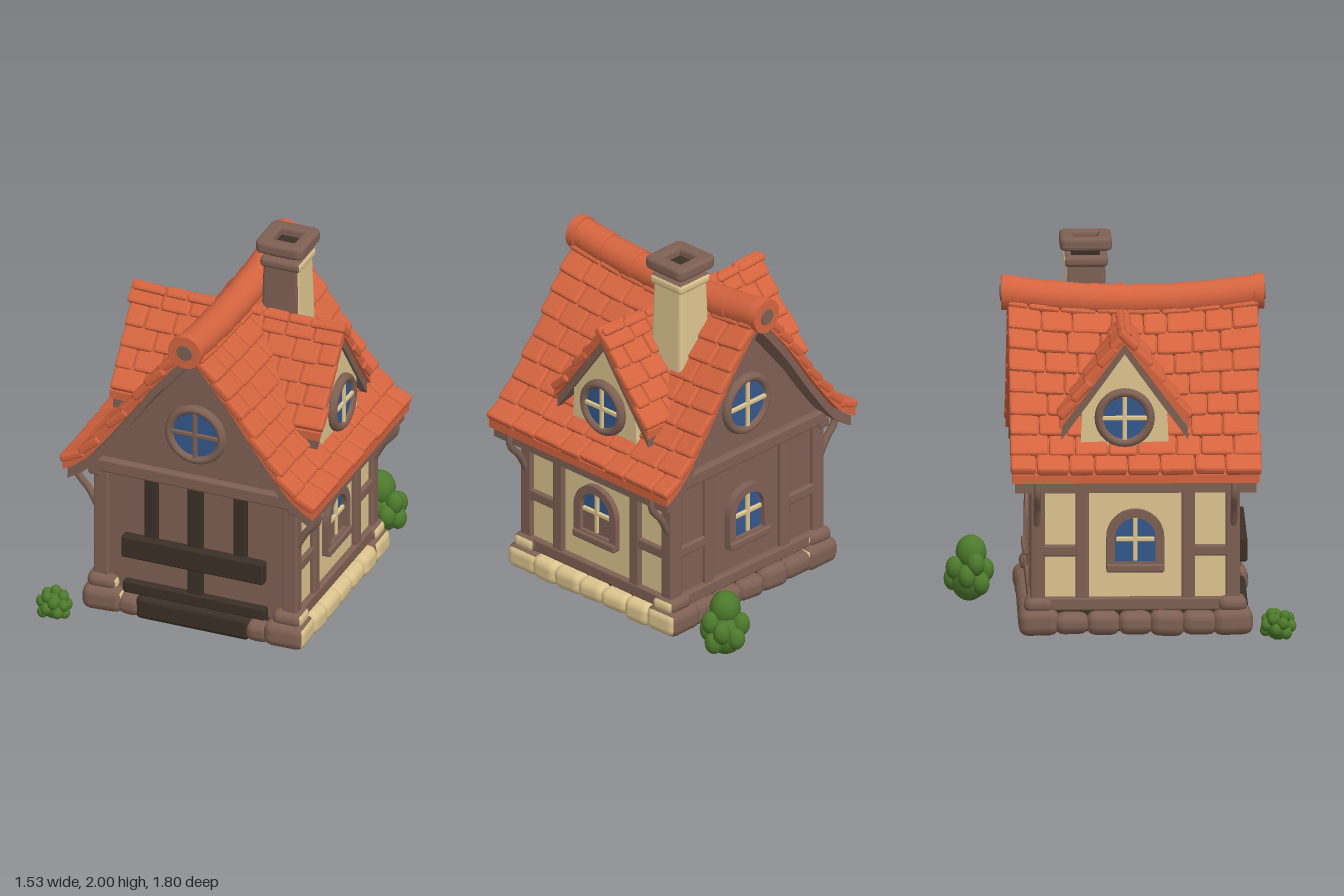
import * as THREE from 'three';
import { mergeGeometries } from 'three/addons/utils/BufferGeometryUtils.js';
import { RoundedBoxGeometry } from 'three/addons/geometries/RoundedBoxGeometry.js';

const mat = (name, color) => Object.assign(new THREE.MeshStandardMaterial({ color }), { name });

export function createModel() {
  const tile = mat('roof tile', 0xd5643f), timber = mat('timber brown', 0x7e6053), plaster = mat('plaster', 0xdcc48e);
  const dark = mat('dark timber', 0x3a3026), glass = mat('window blue', 0x34588c), leaf = mat('leaf green', 0x4d7a2c);
  let seed = 7;
  const rnd = (a, b) => { seed = (seed * 16807) % 2147483647; return a + (b - a) * seed / 2147483647; };
  const model = new THREE.Group();
  const group = (name, parent, x = 0, y = 0, z = 0, ry = 0) => {
    const g = new THREE.Group();
    g.name = name; g.position.set(x, y, z); g.rotation.y = ry;
    parent.add(g);
    return g;
  };
  const add = (parent, name, geo, m, x = 0, y = 0, z = 0) => {
    const mesh = new THREE.Mesh(geo, m);
    mesh.name = name; mesh.position.set(x, y, z);
    parent.add(mesh);
    return mesh;
  };
  const block = (parent, name, m, w, h, d, x, y, z, r = 0.012) =>
    add(parent, name, new RoundedBoxGeometry(w, h, d, 2, Math.min(r, w / 2.1, h / 2.1, d / 2.1)), m, x, y, z);
  const extrude = (shape, depth, steps = 1) =>
    new THREE.ExtrudeGeometry(shape, { depth, steps, bevelEnabled: false, curveSegments: 16 });
  const polygon = pts => new THREE.Shape(pts.map(p => new THREE.Vector2(p[0], p[1])));

  const house = group('house', model, 0.04, 0, 0.065);

  // Walls with pointed gables
  add(house, 'walls', extrude(polygon([[-0.54, 0.1], [0.54, 0.1], [0.54, 0.95], [0, 1.6], [-0.54, 0.95]]), 1.04), timber, 0, 0, -0.52);
  block(house, 'floor', dark, 1.1, 0.12, 1.06, 0, 0.11, 0);

  // Windows
  const cross = (p, m, w, h, y, z) => {
    block(p, 'windowBar', m, 0.024, h, 0.02, 0, y, z, 0.006);
    block(p, 'windowBar', m, w, 0.024, 0.02, 0, y, z, 0.006);
  };
  const roundWindow = (parent, y, z, R, barMat) => {
    const g = group('roundWindow', parent, 0, y, z);
    add(g, 'windowFrame', new THREE.TorusGeometry(R, 0.024, 10, 28), timber).scale.z = 1.3;
    add(g, 'windowPane', new THREE.CircleGeometry(R, 28), glass, 0, 0, 0.008);
    cross(g, barMat, 2 * R - 0.03, 2 * R - 0.03, 0, 0.012);
  };
  const arch = (C, hw, y0, y1) => {
    const s = new C();
    s.moveTo(-hw, y0); s.lineTo(hw, y0); s.lineTo(hw, y1);
    s.absarc(0, y1, hw, 0, Math.PI, false); s.lineTo(-hw, y0);
    return s;
  };
  const archWindow = (parent, z, lowerMat) => {
    const g = group('archedWindow', parent, 0, 0, z);
    const frame = arch(THREE.Shape, 0.15, 0.38, 0.55);
    frame.holes.push(arch(THREE.Path, 0.105, 0.42, 0.55));
    add(g, 'windowFrame', extrude(frame, 0.04), timber);
    add(g, 'windowPane', new THREE.ShapeGeometry(arch(THREE.Shape, 0.11, 0.41, 0.55), 16), glass, 0, 0, 0.012);
    block(g, 'lowerPane', lowerMat, 0.2, 0.13, 0.008, 0, 0.485, 0.014, 0.002);
    cross(g, plaster, 0.2, 0.23, 0.54, 0.02);
    block(g, 'windowSill', plaster === lowerMat ? plaster : timber, 0.3, 0.045, 0.06, 0, 0.39, 0.025);
  };

  // Timber framing on the two long sides
  for (const s of [1, -1]) {
    const wall = group('sideWall', house, 0, 0, 0, s * Math.PI / 2);
    block(wall, 'plasterPanel', plaster, 1.0, 0.66, 0.008, 0, 0.52, 0.544, 0.002);
    block(wall, 'sillBeam', timber, 1.0, 0.07, 0.05, 0, 0.2, 0.555);
    block(wall, 'eaveBeam', timber, 1.12, 0.06, 0.07, 0, 0.85, 0.56);
    for (const k of [1, -1]) {
      block(wall, 'innerPost', timber, 0.07, 0.64, 0.04, k * 0.275, 0.53, 0.555);
      block(wall, 'rail', timber, 0.2, 0.06, 0.036, k * 0.4, 0.48, 0.553);
    }
    archWindow(wall, 0.54, s > 0 ? timber : glass);
  }
  for (const x of [1, -1]) for (const z of [1, -1]) {
    block(house, 'cornerPost', timber, 0.085, 0.72, 0.075, x * 0.53, 0.52, z * 0.505);
    const path = new THREE.CatmullRomCurve3([[0.67, 0.92], [0.68, 0.8], [0.61, 0.71], [0.56, 0.62]]
      .map(p => new THREE.Vector3(x * p[0], p[1], z * 0.51)));
    add(house, 'eaveBracket', new THREE.TubeGeometry(path, 12, 0.02, 7), timber);
  }

  // Front and back gable walls
  for (const s of [1, -1]) {
    const wall = group(s > 0 ? 'frontWall' : 'backWall', house, 0, 0, 0, s > 0 ? 0 : Math.PI);
    block(wall, 'gableBeam', timber, 1.14, 0.075, 0.06, 0, 0.885, 0.53);
    roundWindow(wall, 1.17, 0.53, 0.147, s > 0 ? timber : plaster);
    if (s > 0) {
      block(wall, 'lowerBeam', dark, 0.8, 0.07, 0.06, 0, 0.195, 0.53);
      block(wall, 'crossBeam', dark, 0.8, 0.125, 0.06, 0, 0.445, 0.555);
      block(wall, 'middlePost', dark, 0.085, 0.64, 0.04, 0, 0.53, 0.53);
      for (const k of [1, -1]) block(wall, 'sidePost', dark, 0.075, 0.36, 0.04, k * 0.25, 0.67, 0.525);
      block(wall, 'doorStep', dark, 0.64, 0.13, 0.12, 0, 0.1, 0.53, 0.03);
    } else {
      block(wall, 'sillBeam', timber, 1.04, 0.07, 0.05, 0, 0.2, 0.53);
      for (const k of [1, -1]) {
        block(wall, 'innerPost', timber, 0.07, 0.64, 0.04, k * 0.28, 0.53, 0.525);
        block(wall, 'rail', timber, 0.2, 0.06, 0.036, k * 0.4, 0.48, 0.523);
      }
      archWindow(wall, 0.52, glass);
    }
  }

  // Foundation stones, pale on the +x side only
  const stoneMats = [plaster, timber, timber, timber, timber, timber];
  const stone = (m, w, h, d, x, y, z) => {
    const b = block(house, 'foundationStone', m, w, h, d, x, y, z, 0.05);
    b.rotation.set(rnd(-0.05, 0.05), rnd(-0.08, 0.08), rnd(-0.05, 0.05));
  };
  for (const x of [1, -1]) {
    for (const z of [1, -1]) {
      stone(stoneMats, 0.23, 0.14, 0.21, x * 0.51, 0.105, z * 0.5);
      stone(stoneMats, 0.17, 0.085, 0.15, x * 0.52, 0.195, z * 0.5);
    }
    for (let i = 0; i < 5; i++)
      stone(x > 0 ? plaster : timber, 0.16, rnd(0.11, 0.14), rnd(0.17, 0.2), x * 0.55, 0.1, -0.33 + i * 0.165);
  }
  for (let i = 0; i < 5; i++) stone(timber, rnd(0.18, 0.21), rnd(0.11, 0.14), 0.16, -0.34 + i * 0.17, 0.1, -0.52);
  for (const k of [1, -1]) stone(timber, 0.14, 0.12, 0.15, k * 0.36, 0.095, 0.52);

  // Tiled roof: slab, lining and courses of tiles; the ridge sags in the middle
  const sag = (geo, half, amount) => {
    const p = geo.attributes.position;
    for (let i = 0; i < p.count; i++) {
      const k = THREE.MathUtils.clamp((p.getY(i) - 0.95) / 0.75, 0, 1);
      p.setY(i, p.getY(i) + amount * k * (p.getZ(i) / half) ** 2);
    }
    geo.computeVertexNormals();
    return geo;
  };
  const tiledRoof = (parent, profile, half, courses, columns, sagAmount) => {
    const curve = new THREE.SplineCurve(profile.map(p => new THREE.Vector2(...p)));
    const band = (top, bottom, end, length) => {
      const pts = curve.getSpacedPoints(14).map(p => [p.x * end, p.y]);
      const over = [...pts.slice(1).reverse().map(p => [-p[0], p[1]]), ...pts];
      const shape = polygon([...over.map(p => [p[0], p[1] - top]), ...over.reverse().map(p => [p[0], p[1] - bottom])]);
      return sag(extrude(shape, 2 * length, 10).translate(0, 0, -length), half, sagAmount);
    };
    add(parent, 'roofSlab', band(0.03, 0.075, 0.99, half - 0.01), tile);
    add(parent, 'roofLining', band(0.07, 0.13, 0.96, half - 0.025), timber);
    const len = curve.getLength() / courses, tiles = [];
    for (const s of [1, -1]) for (let i = 0; i < courses; i++) {
      const t = (i + 0.5) / courses, p = curve.getPointAt(t), d = curve.getTangentAt(t);
      const cuts = [-half];
      for (let j = 1; j < columns; j++) cuts.push(-half + 2 * half * (j + (i % 2 ? 0.2 : -0.2) + rnd(-0.15, 0.15)) / columns);
      cuts.push(half + rnd(-0.01, 0.01));
      for (let j = 0; j < columns; j++) {
        const w = cuts[j + 1] - cuts[j];
        const g = new RoundedBoxGeometry(len * rnd(1.12, 1.25), 0.045, w - 0.004, 1, 0.014);
        g.rotateX(rnd(-0.03, 0.03));
        g.rotateZ(-s * (Math.atan2(-d.y, d.x) - rnd(0.1, 0.18)));
        g.translate(s * (p.x + d.y * 0.018), p.y - d.x * 0.018, (cuts[j] + cuts[j + 1]) / 2);
        tiles.push(g);
      }
    }
    add(parent, 'roofTiles', sag(mergeGeometries(tiles), half, sagAmount), tile);
  };
  const roof = group('mainRoof', house);
  tiledRoof(roof, [[0, 1.72], [0.2, 1.5], [0.4, 1.24], [0.58, 1.03], [0.71, 0.94]], 0.65, 9, 8, 0.05);

  // Rounded ridge tiles
  const ridgeY = z => 1.68 + 0.05 * (z / 0.65) ** 2;
  for (let i = 0; i < 6; i++) {
    const z0 = -0.67 + i * 0.223, z1 = z0 + 0.226;
    const m = add(roof, 'ridgeTile', new THREE.CylinderGeometry(0.085, 0.09, z1 - z0, 18), tile, 0, (ridgeY(z0) + ridgeY(z1)) / 2, (z0 + z1) / 2);
    m.rotation.x = Math.PI / 2 - Math.atan2(ridgeY(z1) - ridgeY(z0), z1 - z0);
  }
  for (const s of [1, -1]) {
    add(roof, 'ridgeCollar', new THREE.CylinderGeometry(0.093, 0.093, 0.05, 18), tile, 0, 1.73, s * 0.655).rotation.x = Math.PI / 2;
    const plug = add(roof, 'ridgePlug', new THREE.CylinderGeometry(0.042, 0.045, 0.008, 16), timber, 0, 1.73, s * 0.683);
    plug.rotation.x = s * Math.PI / 2;
  }

  // Dormers on both slopes
  for (const s of [1, -1]) {
    const dormer = group('dormer', house, 0, 0, -0.055, s * Math.PI / 2);
    add(dormer, 'dormerWall', extrude(polygon([[-0.23, 1.0], [0.23, 1.0], [0.22, 1.22], [0, 1.53], [-0.22, 1.22]]), 0.46), plaster, 0, 0, 0.1);
    roundWindow(dormer, 1.185, 0.57, 0.132, plaster);
    tiledRoof(group('dormerRoof', dormer, 0, 0, 0.31), [[0, 1.645], [0.17, 1.42], [0.34, 1.2]], 0.29, 5, 4, 0.01);
  }

  // Chimney
  const chimney = group('chimney', house, 0.19, 0, -0.24);
  const brick = [plaster, timber, timber, timber, timber, plaster];
  const shaft = new RoundedBoxGeometry(0.2, 0.65, 0.2, 2, 0.02);
  const sp = shaft.attributes.position;
  for (let i = 0; i < sp.count; i++) {
    const k = 1.09 - 0.28 * sp.getY(i);
    sp.setX(i, sp.getX(i) * k); sp.setZ(i, sp.getZ(i) * k);
  }
  shaft.computeVertexNormals();
  add(chimney, 'chimneyShaft', shaft, brick, 0, 1.54, 0);
  block(chimney, 'chimneyBand', brick, 0.23, 0.06, 0.23, 0, 1.87, 0, 0.025);
  block(chimney, 'chimneyFlue', dark, 0.15, 0.08, 0.15, 0, 1.915, 0);
  const square = (C, h) => {
    const s = new C();
    s.moveTo(-h + 0.02, -h); s.lineTo(h - 0.02, -h); s.quadraticCurveTo(h, -h, h, -h + 0.02);
    s.lineTo(h, h - 0.02); s.quadraticCurveTo(h, h, h - 0.02, h);
    s.lineTo(-h + 0.02, h); s.quadraticCurveTo(-h, h, -h, h - 0.02);
    s.lineTo(-h, -h + 0.02); s.quadraticCurveTo(-h, -h, -h + 0.02, -h);
    return s;
  };
  const cap = square(THREE.Shape, 0.115);
  cap.holes.push(square(THREE.Path, 0.08));
  const capGeo = new THREE.ExtrudeGeometry(cap, { depth: 0.03, bevelThickness: 0.02, bevelSize: 0.02, bevelSegments: 3, curveSegments: 4 });
  add(chimney, 'chimneyCap', capGeo.rotateX(-Math.PI / 2), timber, 0, 1.95, 0);

  // Bushes
  const ball = (p, r, x, y, z, sy = 1) => { add(p, 'foliage', new THREE.SphereGeometry(r, 14, 10), leaf, x, y, z).scale.y = sy; };
  const small = group('smallBush', model, -0.67, 0, 0.8);
  ball(small, 0.068, 0, 0.105, 0);
  for (let i = 0; i < 16; i++) {
    const a = i * 2.4, v = -0.5 + i / 11, c = Math.sqrt(Math.max(0, 1 - v * v));
    ball(small, 0.03, 0.068 * c * Math.cos(a), 0.11 + 0.072 * v, 0.068 * c * Math.sin(a), 1.1);
  }
  const tall = group('tallBush', model, 0.51, 0, -0.77);
  ball(tall, 0.1, 0, 0.12, 0, 1.2);
  ball(tall, 0.082, -0.01, 0.255, 0.01, 1.15);
  for (let i = 0; i < 10; i++) {
    const a = i * 2.4;
    ball(tall, 0.048, 0.085 * Math.cos(a), 0.09 + 0.013 * i, 0.085 * Math.sin(a), 1.3);
  }
  return model;
}
